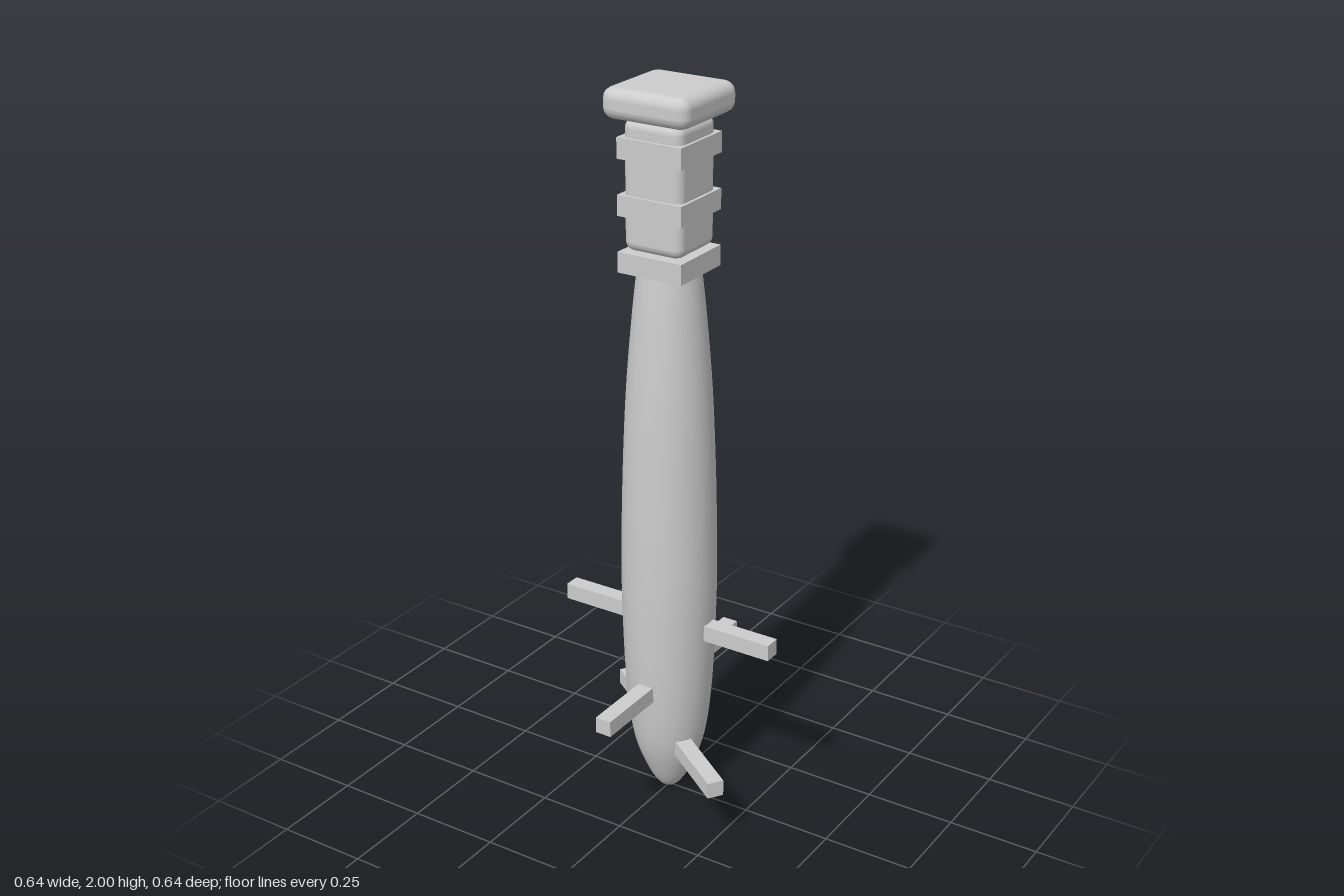
import * as THREE from 'three';
import { RoundedBoxGeometry } from 'three/addons/geometries/RoundedBoxGeometry.js';

export function createModel() {
  const model = new THREE.Group();
  model.name = 'peggedClub';
  const grey = new THREE.MeshStandardMaterial({ color: 0xcccccc });
  grey.name = 'light grey';

  const add = (name, geometry, y, turn = 0) => {
    const mesh = new THREE.Mesh(geometry, grey);
    mesh.name = name;
    mesh.position.y = y;
    mesh.rotation.y = turn;
    model.add(mesh);
  };

  // Smooth tapered body with a rounded lower tip
  const curve = new THREE.SplineCurve([
    [0, 0.005], [0.028, 0.018], [0.062, 0.075], [0.098, 0.18], [0.117, 0.34], [0.126, 0.55],
    [0.1275, 0.72], [0.123, 0.95], [0.112, 1.2], [0.094, 1.42], [0.077, 1.57],
  ].map(([r, y]) => new THREE.Vector2(r, y)));
  const profile = curve.getPoints(50);
  profile[0].x = 0;
  profile.push(new THREE.Vector2(0, 1.57));
  add('body', new THREE.LatheGeometry(profile, 40), 0);

  // Square grip and pommel with softened edges
  add('grip', new RoundedBoxGeometry(0.17, 0.335, 0.17, 2, 0.025), 1.752);
  add('pommel', new RoundedBoxGeometry(0.248, 0.08, 0.248, 2, 0.03), 1.96);

  // Square bands: the collar at the top of the body, then two on the grip
  const bands = [['collar', 1.555], ['lowerGripBand', 1.702], ['upperGripBand', 1.847]];
  for (const [name, y] of bands) add(name, new THREE.BoxGeometry(0.186, 0.054, 0.186), y);

  // Square pegs passing right through the body, each turned differently
  const pegs = [['upperPeg', 0.532, 0], ['middlePeg', 0.356, Math.PI / 2], ['lowerPeg', 0.18, -0.611]];
  for (const [name, y, turn] of pegs) add(name, new THREE.BoxGeometry(0.642, 0.045, 0.045), y, turn);

  return model;
}
